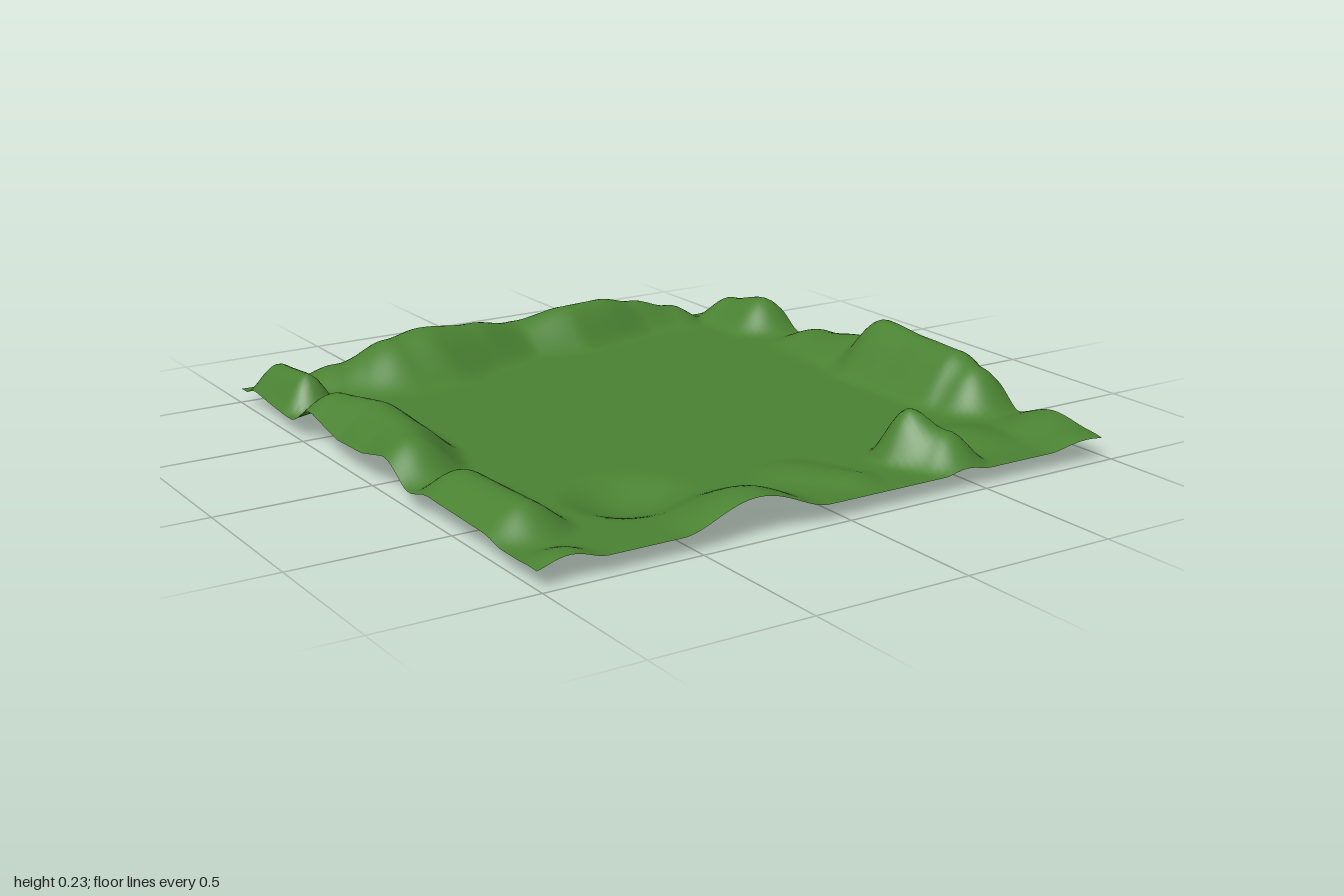
import * as THREE from 'three';

const BASE = 0.05;

// Each ridge is a path of [x, z, radius, height]; a single point is a mound.
const ridges = [
  // back bank
  [[-0.7, -0.88, 0.17, 0.06], [-0.52, -0.84, 0.24, 0.13], [-0.4, -0.85, 0.24, 0.15], [-0.2, -0.88, 0.18, 0.13],
    [0, -0.94, 0.17, 0.095], [0.2, -0.91, 0.17, 0.13], [0.35, -0.93, 0.15, 0.13], [0.5, -0.95, 0.13, 0.1], [0.66, -0.95, 0.14, 0.06]],
  // back corner mound at +x
  [[0.88, -0.86, 0.14, 0.08], [0.9, -0.7, 0.16, 0.11]],
  // +x bank
  [[0.93, -0.4, 0.17, 0.05], [0.92, -0.12, 0.18, 0.09], [0.91, 0, 0.19, 0.18],
    [0.91, 0.2, 0.19, 0.165], [0.91, 0.37, 0.19, 0.16], [0.91, 0.46, 0.17, 0.13]],
  // -x banks
  [[-0.91, -0.87, 0.12, 0.1], [-0.9, -0.68, 0.11, 0.11]],
  [[-0.91, -0.43, 0.18, 0.11], [-0.86, -0.25, 0.19, 0.12], [-0.87, -0.05, 0.19, 0.115], [-0.91, 0.08, 0.18, 0.11]],
  [[-0.89, 0.36, 0.16, 0.08], [-0.88, 0.68, 0.16, 0.085]],
  [[-0.9, 0.94, 0.12, 0.03]],
  // front mounds
  [[-0.3, 0.92, 0.25, 0.075]],
  [[0.4, 0.76, 0.13, 0.15], [0.45, 0.86, 0.14, 0.1]],
  [[0.03, 0.7, 0.14, 0.02], [0.12, 0.84, 0.11, 0.02]],
  [[0.66, 0.72, 0.18, 0.025]],
  [[0.96, 0.78, 0.2, 0.05], [0.92, 0.92, 0.16, 0.035]],
];
const hollow = [[-0.5, 0.6, 0.21, BASE]];

// Height of one rounded ridge at a point
function ridgeHeight(path, x, z) {
  let best = 0;
  for (let i = 0; i < Math.max(1, path.length - 1); i++) {
    const a = path[i], b = path[i + 1] || a;
    const dx = b[0] - a[0], dz = b[1] - a[1];
    const len2 = dx * dx + dz * dz || 1;
    const t = THREE.MathUtils.clamp(((x - a[0]) * dx + (z - a[1]) * dz) / len2, 0, 1);
    const s = t * t * (3 - 2 * t);
    const r = THREE.MathUtils.lerp(a[2], b[2], t), h = THREE.MathUtils.lerp(a[3], b[3], s);
    const d = Math.hypot(x - a[0] - dx * t, z - a[1] - dz * t) / r;
    if (d < 1) best = Math.max(best, h * (1 - d * d) ** 2);
  }
  return best;
}

// Ridges blend softly where they meet
function groundHeight(x, z) {
  const sum = ridges.reduce((n, path) => n + ridgeHeight(path, x, z) ** 3, 0);
  return BASE + Math.cbrt(sum) - ridgeHeight(hollow, x, z);
}

export function createModel() {
  const group = new THREE.Group();
  const grass = new THREE.MeshStandardMaterial({ color: 0x4a8232, side: THREE.DoubleSide });
  grass.name = 'grass green';

  // One open sheet, raised by the ridge rule
  const sheet = new THREE.PlaneGeometry(2, 2, 120, 120).rotateX(-Math.PI / 2);
  const p = sheet.attributes.position;
  for (let i = 0; i < p.count; i++) {
    const u = p.getX(i), v = p.getZ(i);
    // slightly wavering outline
    const side = 0.97 + 0.03 * Math.exp(-(((v - 0.1) / 0.45) ** 2));
    const front = 0.972 + 0.015 * Math.exp(-(((u - 0.97) / 0.12) ** 2));
    const back = 0.98 + 0.006 * Math.sin(u * 11);
    const x = u > 0 ? u * THREE.MathUtils.lerp(1, side, u) : u;
    const z = v > 0 ? v * THREE.MathUtils.lerp(1, front, v) : v * THREE.MathUtils.lerp(1, back, -v);
    p.setXYZ(i, x, groundHeight(x, z), z);
  }
  sheet.computeVertexNormals();

  const ground = new THREE.Mesh(sheet, grass);
  ground.name = 'grassGround';
  group.add(ground);
  return group;
}
